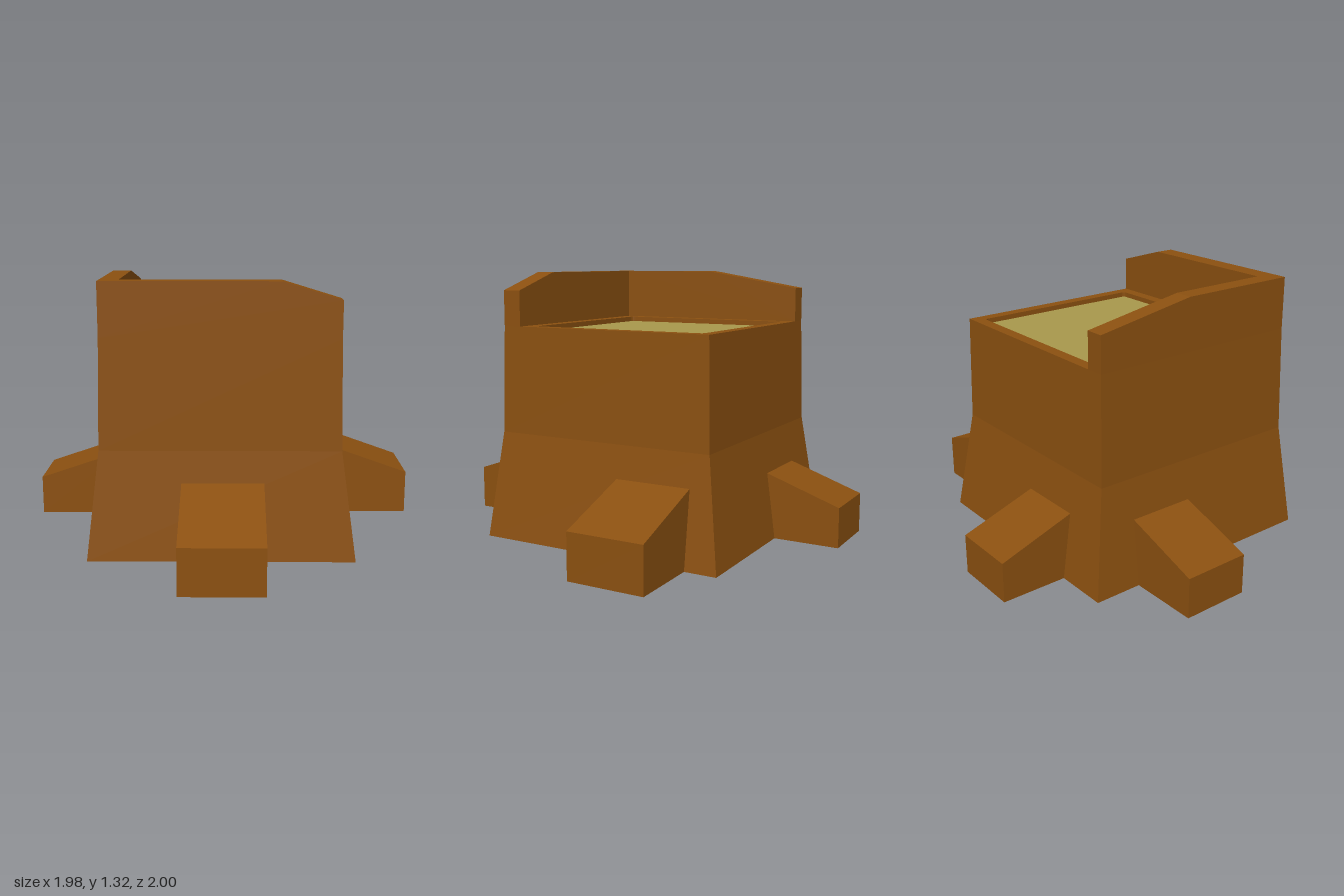
import * as THREE from 'three';

const bark = new THREE.MeshStandardMaterial({ color: 0x8b5010, side: THREE.DoubleSide });
bark.name = 'bark brown';
const wood = new THREE.MeshStandardMaterial({ color: 0xa8984c, side: THREE.DoubleSide });
wood.name = 'pale cut wood';

const DECK = 1.06; // height of the cut surface
const RECESS = 0.025;

function named(name, geometry, material) {
  const mesh = new THREE.Mesh(geometry, material);
  mesh.name = name;
  return mesh;
}

// Flat-shaded geometry from quads, corners counter-clockwise seen from outside
function quads(list) {
  const pos = [];
  for (const [a, b, c, d] of list) pos.push(...a, ...b, ...c, ...a, ...c, ...d);
  const g = new THREE.BufferGeometry();
  g.setAttribute('position', new THREE.Float32BufferAttribute(pos, 3));
  g.computeVertexNormals();
  return g;
}

// Hollow flared trunk, open below: rings of [y, x0, x1, z0, z1]
function trunkGeometry() {
  const rings = [
    [0, -0.645, 0.63, -0.67, 0.605],
    [0.53, -0.583, 0.558, -0.597, 0.551],
    [DECK, -0.572, 0.548, -0.585, 0.54],
  ].map(([y, x0, x1, z0, z1]) => [[x0, y, z1], [x1, y, z1], [x1, y, z0], [x0, y, z0]]);
  const faces = [];
  for (let r = 0; r < rings.length - 1; r++) {
    for (let i = 0; i < 4; i++) {
      const j = (i + 1) % 4;
      faces.push([rings[r][i], rings[r][j], rings[r + 1][j], rings[r + 1][i]]);
    }
  }
  return quads(faces);
}

// Hollow root running out along +z, open below and at its inner end
function rootGeometry(a, b, inner, outer, hInner, hOuter) {
  const A = [a, 0, inner], B = [b, 0, inner], C = [b, 0, outer], D = [a, 0, outer];
  const At = [a, hInner, inner], Bt = [b, hInner, inner];
  const Ct = [b, hOuter, outer], Dt = [a, hOuter, outer];
  return quads([[D, C, Ct, Dt], [C, B, Bt, Ct], [A, D, Dt, At], [Dt, Ct, Bt, At]]);
}

function roundedRect(path, x0, x1, y0, y1, r) {
  path.moveTo(x0 + r, y0);
  path.lineTo(x1 - r, y0).quadraticCurveTo(x1, y0, x1, y0 + r);
  path.lineTo(x1, y1 - r).quadraticCurveTo(x1, y1, x1 - r, y1);
  path.lineTo(x0 + r, y1).quadraticCurveTo(x0, y1, x0, y1 - r);
  path.lineTo(x0, y0 + r).quadraticCurveTo(x0, y0, x0 + r, y0);
  return path;
}

// Raised wall with one end of its top edge sloping down
function wallGeometry(points, depth) {
  const shape = new THREE.Shape(points.map(([u, v]) => new THREE.Vector2(u, v)));
  return new THREE.ExtrudeGeometry(shape, { depth, bevelEnabled: false });
}

export function createModel() {
  const model = new THREE.Group();
  model.name = 'treeStump';
  model.add(named('trunk', trunkGeometry(), bark));

  // Raised walls on the front and the right-hand (-x) side
  const frontWall = wallGeometry(
    [[-0.572, DECK], [0.548, DECK], [0.548, 1.235], [0.27, 1.32], [-0.572, 1.32]], 0.095);
  frontWall.translate(0, 0, 0.445);
  model.add(named('frontWall', frontWall, bark));
  const sideWall = wallGeometry(
    [[-0.585, DECK], [0.445, DECK], [0.445, 1.32], [-0.08, 1.32], [-0.585, 1.235]], 0.092);
  sideWall.rotateY(-Math.PI / 2).translate(-0.48, 0, 0);
  model.add(named('sideWall', sideWall, bark));

  // Rim around the recessed cut wood (shape y maps to -z)
  const rim = new THREE.Shape();
  rim.moveTo(-0.48, -0.445).lineTo(0.548, -0.445).lineTo(0.548, 0.585).lineTo(-0.48, 0.585);
  rim.holes.push(roundedRect(new THREE.Path(), -0.42, 0.49, -0.385, 0.527, 0.02));
  const rimGeometry = new THREE.ExtrudeGeometry(rim, { depth: RECESS, bevelEnabled: false, curveSegments: 4 });
  rimGeometry.rotateX(-Math.PI / 2).translate(0, DECK - RECESS, 0);
  model.add(named('rim', rimGeometry, bark));

  const cut = new THREE.ShapeGeometry(roundedRect(new THREE.Shape(), -0.42, 0.49, -0.385, 0.527, 0.02), 4);
  cut.rotateX(-Math.PI / 2).translate(0, DECK - RECESS, 0);
  model.add(named('cutWood', cut, wood));

  // Roots: name, turn about y, then local side, length and height limits
  const roots = [
    ['frontRoot', 0, -0.195, 0.195, 0.53, 1.0, 0.389, 0.225],
    ['leftRoot', Math.PI / 2, 0.125, 0.51, 0.54, 0.99, 0.384, 0.225],
    ['backRoot', Math.PI, 0.04, 0.375, 0.58, 1.0, 0.345, 0.2],
    ['rightRoot', -Math.PI / 2, -0.43, -0.095, 0.56, 0.99, 0.345, 0.2],
  ];
  for (const [name, turn, ...dims] of roots) {
    const root = named(name, rootGeometry(...dims), bark);
    root.rotation.y = turn;
    model.add(root);
  }
  return model;
}
